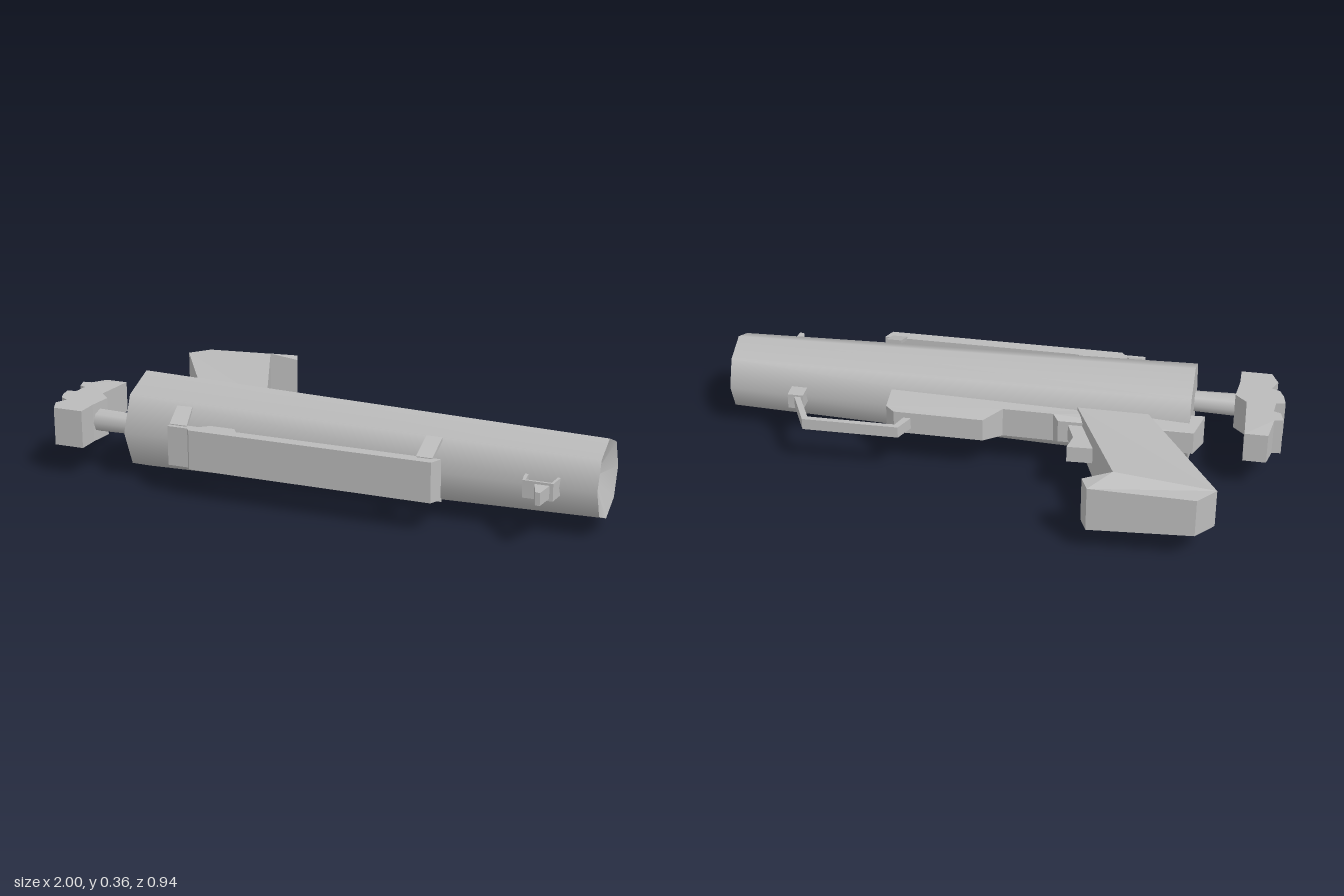
import * as THREE from 'three';

const grey = new THREE.MeshStandardMaterial({ color: 0xbbbbbb, side: THREE.DoubleSide });
grey.name = 'plain grey';
const MID = 0.183; // height of the mirror plane
const AXIS_Z = 0.2; // depth of the barrel axis

export function createModel() {
  const group = new THREE.Group();

  function add(name, geometry) {
    const mesh = new THREE.Mesh(geometry, grey);
    mesh.name = name;
    group.add(mesh);
    return mesh;
  }

  // Slab from an outline of [x, z, optional half height], mirrored about MID
  function slab(name, half, points) {
    const shape = new THREE.Shape(points.map(([x, z]) => new THREE.Vector2(x, -z)));
    const geo = new THREE.ExtrudeGeometry(shape, { depth: 1, bevelEnabled: false });
    geo.translate(0, 0, -0.5).rotateX(-Math.PI / 2);
    const pos = geo.attributes.position;
    for (let i = 0; i < pos.count; i++) {
      const hit = points.find(([x, z]) =>
        Math.abs(x - pos.getX(i)) < 1e-4 && Math.abs(z - pos.getZ(i)) < 1e-4);
      const h = hit && hit[2] !== undefined ? hit[2] : half;
      pos.setY(i, MID + Math.sign(pos.getY(i)) * h);
    }
    geo.computeVertexNormals();
    return add(name, geo);
  }

  // Eight-sided section running along x, centred on (y, z)
  function alongX(name, x0, x1, r0, r1, z, open) {
    const geo = new THREE.CylinderGeometry(r1, r0, x1 - x0, 8, 1, open);
    geo.rotateZ(-Math.PI / 2).translate((x0 + x1) / 2, MID, z);
    return add(name, geo);
  }

  // Tapered barrel with a shallow hollow mouth and a closed rear
  alongX('barrel', -0.675, 1, 0.179, 0.138, AXIS_Z, true);
  alongX('barrelMouth', 0.95, 1, 0.001, 0.138, AXIS_Z, true);
  const rear = new THREE.CircleGeometry(0.179, 8);
  rear.rotateY(-Math.PI / 2).translate(-0.675, MID, AXIS_Z);
  add('barrelRear', rear);

  // Rear rod and ridged end rest
  alongX('rearRod', -0.84, -0.66, 0.042, 0.038, 0.277, false);
  slab('rearRest', 0.068, [
    [-0.95, 0, 0.055], [-0.868, 0, 0.055], [-0.862, 0.19], [-0.82, 0.232], [-0.83, 0.32],
    [-0.83, 0.4], [-0.94, 0.4], [-0.965, 0.345], [-0.945, 0.3], [-0.975, 0.285],
    [-0.99, 0.25], [-0.998, 0.205], [-0.965, 0.2], [-0.96, 0.145], [-0.985, 0.135],
    [-0.997, 0.09], [-0.965, 0.085],
  ]);

  // Angled grip, wider along its leading side
  slab('grip', 0.065, [
    [-0.53, 0.05], [-0.805, -0.39, 0.07], [-0.745, -0.46, 0.07], [-0.385, -0.472, 0.082],
    [-0.36, -0.415, 0.082], [-0.46, -0.39, 0.104], [-0.28, 0.05],
  ]);

  // Long spine that joins grip and barrel
  slab('spine', 0.055, [
    [-0.725, 0.088], [-0.695, -0.01, 0.042], [-0.22, -0.015, 0.042], [-0.2, 0.008],
    [-0.02, 0.008], [0.04, -0.058, 0.042], [0.36, -0.058, 0.042], [0.393, -0.03, 0.045],
    [0.396, 0.08], [-0.6, 0.08],
  ]);
  slab('trigger', 0.03, [
    [-0.37, -0.15], [-0.272, -0.155], [-0.285, -0.09], [-0.25, 0.0], [-0.34, 0.0],
  ]);

  // Thin hand loop with its foot
  slab('handLoop', 0.021, [
    [0.295, -0.05], [0.33, -0.126], [0.675, -0.132], [0.745, 0.015], [0.725, 0.02],
    [0.66, -0.112], [0.345, -0.108], [0.322, -0.05],
  ]);
  slab('loopFoot', 0.028, [[0.71, 0.01], [0.767, 0.01], [0.767, 0.07], [0.71, 0.07]]);

  // Front rail
  slab('rail', 0.07, [
    [-0.475, 0.408], [-0.475, 0.437], [-0.4, 0.437], [-0.388, 0.453], [0.48, 0.453],
    [0.5, 0.41], [-0.23, 0.41], [-0.25, 0.382], [-0.34, 0.382], [-0.37, 0.408],
  ]);

  // Splayed legs above and below that carry the rail
  const legs = [['rearLeg', -0.492, -0.435, -0.475, -0.41], ['frontLeg', 0.417, 0.473, 0.417, 0.473]];
  for (const [name, a0, a1, b0, b1] of legs) {
    for (const side of [1, -1]) {
      const geo = new THREE.BoxGeometry(1, 1, 1);
      const pos = geo.attributes.position;
      for (let i = 0; i < pos.count; i++) {
        const outer = pos.getZ(i) > 0; // end at the rail
        const right = pos.getX(i) > 0;
        const thick = pos.getY(i) > 0 ? 0.013 : 0;
        const x = outer ? (right ? b1 : b0) : (right ? a1 : a0);
        pos.setXYZ(i, x, MID + side * ((outer ? 0.06 : 0.1) + thick), outer ? 0.42 : 0.32);
      }
      // Mirrored copies need their corner order reversed
      if (side < 0) geo.index.array.reverse();
      geo.computeVertexNormals();
      add(name, geo);
    }
  }

  // Small sight: a thin staple and a tapered post
  slab('sightStaple', 0.03, [
    [0.76, 0.32], [0.76, 0.348], [0.768, 0.392], [0.87, 0.392], [0.878, 0.32],
    [0.868, 0.32], [0.862, 0.383], [0.776, 0.383], [0.77, 0.32],
  ]);
  slab('sightPost', 0.022, [[0.807, 0.39], [0.858, 0.39], [0.848, 0.465], [0.832, 0.465]]);

  return group;
}
